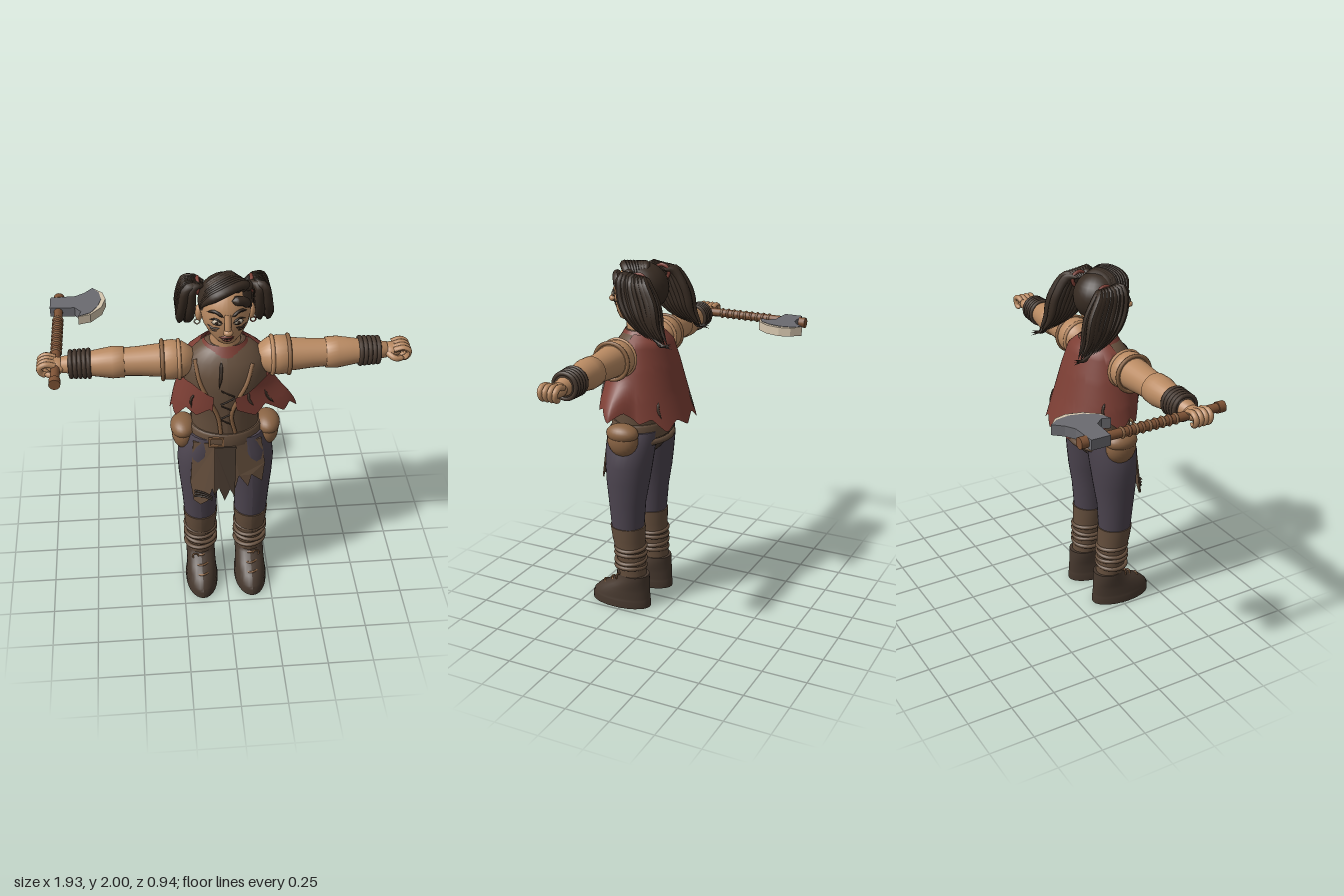
import * as THREE from 'three';
import { ParametricGeometry } from 'three/addons/geometries/ParametricGeometry.js';

const V = (p) => new THREE.Vector3(...p);
const lerp = THREE.MathUtils.lerp, smooth = THREE.MathUtils.smoothstep;

export function createModel() {
  const model = new THREE.Group();
  const paint = (name, color, side = THREE.FrontSide) => {
    const m = new THREE.MeshStandardMaterial({ color, side });
    m.name = name;
    return m;
  };
  const skin = paint('skin', 0xb98a62), dark = paint('darkLeather', 0x46382e);
  const leather = paint('leather', 0x654f3d), tan = paint('tanLeather', 0x8a6444);
  const trousers = paint('trousers', 0x4d4550), red = paint('redCloth', 0x7d3f35, THREE.DoubleSide);
  const hair = paint('hair', 0x372b22), metal = paint('metal', 0x6b6b70);
  const pale = paint('pale', 0xd5c6ae), wood = paint('wood', 0x7d5235);

  const add = (name, geo, mat, pos = [0, 0, 0], parent = model) => {
    const m = new THREE.Mesh(geo, mat);
    m.name = name;
    m.position.set(...pos);
    parent.add(m);
    return m;
  };
  // Elliptical sections stacked top to bottom: [y, centreX, centreZ, radiusX, radiusZ]
  const loft = (rows) => {
    const g = new THREE.CylinderGeometry(1, 1, 1, 28, rows.length - 1), p = g.attributes.position;
    for (let i = 0; i < p.count; i++) {
      const [y, cx, cz, rx, rz] = rows[Math.round((0.5 - p.getY(i)) * (rows.length - 1))];
      p.setXYZ(i, cx + p.getX(i) * rx, y, cz + p.getZ(i) * rz);
    }
    g.computeVertexNormals();
    return g;
  };
  const ball = (name, mat, pos, size, parent) => {
    const m = add(name, new THREE.SphereGeometry(1, 24, 16), mat, pos, parent);
    m.scale.set(...size);
    return m;
  };
  // Tube along points, with an optional radius rule
  const tube = (pts, r, rule = () => 1, n = 20) => {
    const curve = new THREE.CatmullRomCurve3(pts.map(V));
    const g = new THREE.TubeGeometry(curve, n, r, 8), p = g.attributes.position, v = new THREE.Vector3();
    for (let i = 0; i < p.count; i++) {
      const t = Math.floor(i / 9) / n, c = curve.getPointAt(t);
      v.fromBufferAttribute(p, i).sub(c).multiplyScalar(rule(t)).add(c);
      p.setXYZ(i, v.x, v.y, v.z);
    }
    g.computeVertexNormals();
    return g;
  };
  const ends = (t) => Math.max(0.02, Math.min(1, t * 6, (1 - t) * 3));
  const slab = (pts, depth) => new THREE.ExtrudeGeometry(
    new THREE.Shape(pts.map(([x, y]) => new THREE.Vector2(x, y))), { depth, bevelEnabled: false });
  const ring = (name, mat, r, t, pos, parent) => {
    const m = add(name, new THREE.TorusGeometry(r, t, 8, 28), mat, pos, parent);
    m.rotation.x = Math.PI / 2;
    return m;
  };

  // Legs, boots and hip pouches
  for (const s of [-1, 1]) {
    const side = s > 0 ? 'left' : 'right', x = s * 0.142;
    add(side + 'TrouserLeg', loft([[1.08, s * 0.1, 0.21, 0.11, 0.14], [0.98, s * 0.125, 0.22, 0.128, 0.142],
      [0.88, s * 0.133, 0.225, 0.13, 0.133], [0.78, s * 0.14, 0.23, 0.117, 0.125],
      [0.65, s * 0.144, 0.235, 0.1, 0.107], [0.49, x, 0.235, 0.09, 0.094]]), trousers);
    add(side + 'Gaiter', loft([[0.5, x, 0.235, 0.096, 0.102], [0.42, x, 0.23, 0.09, 0.095],
      [0.34, x, 0.22, 0.08, 0.086], [0.18, x, 0.205, 0.074, 0.078]]), leather);
    [0.37, 0.33, 0.29, 0.25].forEach((y, i) => {
      const r = ring(side + 'GaiterStrap', leather, 0.085, 0.012, [x, y, 0.22]);
      r.rotation.y = (i % 2 ? 1 : -1) * 0.08;
    });
    add(side + 'Boot', loft([[0.2, x, 0.195, 0.079, 0.085], [0.17, x, 0.2, 0.083, 0.092],
      [0.13, x, 0.232, 0.082, 0.128], [0.1, x, 0.26, 0.084, 0.157], [0.06, x, 0.28, 0.088, 0.178],
      [0.045, x, 0.28, 0.088, 0.178], [0.04, x, 0.283, 0.092, 0.184], [0, x, 0.283, 0.092, 0.184]]), dark);
    // Laces across the instep and ankle rings
    for (const [y, z] of [[0.175, 0.29], [0.145, 0.345], [0.115, 0.395]])
      add(side + 'BootLace', tube([[x - 0.065, y - 0.03, z - 0.06], [x, y, z], [x + 0.065, y - 0.015, z - 0.06]], 0.006), tan);
    add(side + 'LaceRing', new THREE.TorusGeometry(0.017, 0.005, 6, 18), tan, [x - s * -0.035, 0.17, 0.29]);
    ball(side + 'Pouch', tan, [s * 0.225, 1.045, 0.215], [0.064, 0.095, 0.09]);
    ball(side + 'PouchFlap', tan, [s * 0.228, 1.085, 0.215], [0.068, 0.055, 0.094]);
  }
  ball('hips', dark, [0, 1.0, 0.215], [0.16, 0.1, 0.13]);

  // Torso, belt and buckle
  add('jerkin', loft([[1.63, 0, 0.21, 0.09, 0.08], [1.6, 0, 0.21, 0.14, 0.1], [1.55, 0, 0.21, 0.205, 0.135],
    [1.48, 0, 0.21, 0.22, 0.16], [1.4, 0, 0.21, 0.218, 0.168], [1.3, 0, 0.21, 0.2, 0.158],
    [1.18, 0, 0.21, 0.178, 0.146], [1.0, 0, 0.21, 0.185, 0.15]]), leather);
  add('belt', loft([[1.12, 0, 0.21, 0.188, 0.155], [1.11, 0, 0.21, 0.2, 0.163],
    [1.045, 0, 0.21, 0.205, 0.166], [1.035, 0, 0.21, 0.19, 0.155]]), leather);
  const lowBelt = ring('hipBelt', leather, 1, 0.09, [0, 1.02, 0.2]);
  lowBelt.scale.set(0.195, 0.155, 0.2);
  const buckle = new THREE.Group();
  buckle.name = 'buckle';
  model.add(buckle);
  for (const k of [-1, 1]) {
    add('buckleBar', new THREE.BoxGeometry(0.08, 0.01, 0.012), tan, [-0.06, 1.08 + k * 0.025, 0.372], buckle);
    add('bucklePost', new THREE.BoxGeometry(0.01, 0.055, 0.012), tan, [-0.06 + k * 0.036, 1.08, 0.372], buckle);
  }

  // Ragged loincloth panels following the waist and flaring forward
  const panel = (name, mat, pts, lift) => {
    const g = slab(pts, 0.01), p = g.attributes.position;
    for (let i = 0; i < p.count; i++)
      p.setZ(i, p.getZ(i) + lift + 0.36 - 1.2 * p.getX(i) ** 2 + (1.08 - p.getY(i)) * 0.14);
    g.computeVertexNormals();
    add(name, g, mat);
  };
  panel('rightClothPanel', leather, [[-0.18, 1.06], [-0.2, 0.8], [-0.185, 0.69], [-0.15, 0.67], [-0.11, 0.7],
    [-0.085, 0.78], [-0.07, 0.72], [-0.06, 1.06]], 0);
  panel('leftClothPanel', leather, [[0.03, 1.06], [0.04, 0.78], [0.06, 0.86], [0.11, 0.78], [0.13, 0.85],
    [0.19, 0.79], [0.205, 0.9], [0.185, 1.06]], 0);
  panel('centreClothPanel', dark, [[-0.07, 1.05], [-0.075, 0.75], [-0.05, 0.8], [-0.02, 0.72], [0.01, 0.79],
    [0.035, 0.74], [0.045, 1.05]], 0.015);
  for (const k of [0, 1, 2])
    add('clothStitch', tube([[-0.18, 0.765 - k * 0.02, 0.39], [-0.13, 0.755 - k * 0.014, 0.403], [-0.085, 0.735 - k * 0.01, 0.418]], 0.005), hair);

  // Chest cords, lacing and tears
  const front = (x, y) => [x, y, 0.217 + lerp(0.146, 0.166, smooth(y, 1.15, 1.4)) * Math.sqrt(Math.max(0, 1 - (x / 0.215) ** 2)) - smooth(y, 1.46, 1.62) * 0.065];
  add('rightChestCord', tube([[-0.16, 1.56], [-0.14, 1.45], [-0.09, 1.34], [-0.05, 1.24], [-0.035, 1.13]].map((p) => front(...p)), 0.011), tan);
  add('leftChestCord', tube([[0.13, 1.54], [0.1, 1.45], [0.05, 1.35], [0.02, 1.25], [0.04, 1.13]].map((p) => front(...p)), 0.011), tan);
  for (let k = 0; k < 5; k++) {
    const y = 1.2 + k * 0.05, d = k % 2 ? 0.02 : -0.02;
    add('chestLace', tube([front(-0.035, y - d), front(0, y), front(0.035, y + d)], 0.004), dark);
  }
  add('jerkinTear', tube([front(-0.03, 1.57), front(-0.035, 1.5), front(-0.045, 1.43)], 0.008, ends), hair);

  // Ragged cape around the back and under the arms
  const spans = [[1.63, 0.11, 0.1], [1.56, 0.2, 0.16], [1.45, 0.235, 0.195], [1.3, 0.275, 0.235], [1.05, 0.32, 0.315]];
  const capePoint = (a, y) => {
    let i = 0;
    while (i < 3 && y < spans[i + 1][0]) i++;
    const [y0, x0, z0] = spans[i], [y1, x1, z1] = spans[i + 1], t = (y0 - y) / (y0 - y1);
    const under = (1 - smooth(y, 1.2, 1.42)) * smooth(a, 1.2, 1.7) * 0.09;
    return [Math.sin(a) * (lerp(x0, x1, t) + under), y,
      0.2 - Math.cos(a) * (Math.cos(a) > 0 ? lerp(z0, z1, t) : Math.min(0.193, lerp(z0, z1, t)))];
  };
  add('cape', new ParametricGeometry((u, v, out) => {
    const a = lerp(-2.85, 3.0, u), b = Math.abs(a);
    const top = lerp(1.62, 1.44, smooth(b, 1.5, 1.9)) - smooth(b, 2.2, 3) * 0.06;
    const jag = Math.abs(((a * 1.9 + 20.3) % 1) - 0.5) * 0.11 + Math.abs(((a * 0.8 + 9) % 1) - 0.5) * 0.06;
    out.set(...capePoint(a, lerp(top, 1.17 - 0.07 * Math.cos(a) + jag, v)));
  }, 110, 14), red);
  const collar = add('collar', new THREE.CylinderGeometry(0.105, 0.155, 0.075, 28, 1, true), red, [0, 1.595, 0.205]);
  collar.scale.z = 0.85;
  for (const [a, y] of [[-1.1, 1.3], [-0.4, 1.22], [0.7, 1.24], [2.3, 1.34], [2.7, 1.36], [-2.4, 1.34]])
    add('capeTear', tube([capePoint(a, y + 0.04), capePoint(a + 0.04, y), capePoint(a, y - 0.05)], 0.007, ends), dark);

  // Arms, built along +x and turned for the other side
  for (const s of [-1, 1]) {
    const arm = new THREE.Group();
    arm.name = s > 0 ? 'leftArm' : 'rightArm';
    arm.position.set(0, 1.52, 0.22);
    if (s < 0) arm.rotation.y = Math.PI;
    model.add(arm);
    const turned = (name, mat, pts) => add(name, new THREE.LatheGeometry(
      pts.map(([x, r]) => new THREE.Vector2(r, x)), 28).rotateZ(-Math.PI / 2), mat, [0, 0, 0], arm);
    turned('shoulder', skin, [[0.14, 0], [0.17, 0.06], [0.22, 0.094], [0.27, 0.104], [0.325, 0.1], [0.33, 0.08]]);
    turned('upperArm', skin, [[0.3, 0.088], [0.36, 0.085], [0.44, 0.077], [0.52, 0.073], [0.55, 0.07]]);
    turned('forearm', skin, [[0.515, 0.06], [0.52, 0.081], [0.58, 0.083], [0.66, 0.07], [0.74, 0.056], [0.84, 0.042], [0.85, 0]]);
    for (const [x, r] of [[0.24, 0.098], [0.325, 0.1]])
      add('shoulderBand', new THREE.TorusGeometry(r, 0.011, 8, 28).rotateY(Math.PI / 2), x < 0.3 ? skin : tan, [x, 0, 0], arm);
    turned('bracer', dark, [[0.69, 0.06], [0.69, 0.069], [0.8, 0.06], [0.8, 0.045]]);
    for (let k = 0; k < 5; k++)
      add('bracerWrap', new THREE.TorusGeometry(0.069 - k * 0.001, 0.012, 8, 24).rotateY(Math.PI / 2), dark, [0.7 + k * 0.023, 0, 0], arm);
    ball('palm', skin, [0.865, 0, 0], [0.055, 0.036, 0.05], arm);
    for (let k = 0; k < 4; k++) {
      const z = (k - 1.5) * 0.026;
      add('finger', tube([[0.87, 0.02, z], [0.92, 0.033, z * 1.1], [0.95, 0.012, z * 1.1], [0.938, -0.025, z], [0.9, -0.03, z]], 0.0155, (t) => Math.min(1, (1.03 - t) * 6)), skin, [0, 0, 0], arm);
    }
    add('thumb', tube([[0.84, 0, s * 0.03], [0.875, -0.015, s * 0.06], [0.925, -0.022, s * 0.05]], 0.017, (t) => Math.min(1, (1.04 - t) * 5)), skin, [0, 0, 0], arm);
  }

  // Axe held level in the right hand
  const axe = new THREE.Group();
  axe.name = 'axe';
  axe.position.y = 1.52;
  model.add(axe);
  add('axeShaft', new THREE.CylinderGeometry(0.024, 0.024, 0.82, 16).rotateX(Math.PI / 2), wood, [-0.87, 0, -0.015], axe);
  for (const z of [0.375, -0.405])
    add('axeShaftCap', new THREE.CylinderGeometry(0.03, 0.03, 0.04, 16).rotateX(Math.PI / 2), wood, [-0.87, 0, z], axe);
  for (let k = 0; k < 9; k++)
    add('axeGripWrap', new THREE.TorusGeometry(0.023, 0.008, 6, 18), k % 2 ? wood : tan, [-0.87, 0, 0.11 - k * 0.038], axe);
  add('axeBlade', slab([[-0.915, -0.385], [-0.78, -0.39], [-0.73, -0.42], [-0.685, -0.47], [-0.65, -0.42], [-0.638, -0.35],
    [-0.655, -0.28], [-0.695, -0.215], [-0.76, -0.185], [-0.745, -0.23], [-0.78, -0.272], [-0.915, -0.28]], 0.055).rotateX(Math.PI / 2), metal, [0, 0.0275, 0], axe);
  add('axeEdge', slab([[-0.685, -0.47], [-0.63, -0.42], [-0.613, -0.355], [-0.635, -0.27], [-0.695, -0.2], [-0.76, -0.185],
    [-0.695, -0.215], [-0.655, -0.28], [-0.638, -0.35], [-0.65, -0.42]], 0.05).rotateX(Math.PI / 2), pale, [0, 0.025, 0], axe);

  // Head and face
  add('neck', new THREE.CylinderGeometry(0.076, 0.082, 0.16, 24), skin, [0, 1.65, 0.212]);
  add('head', loft([[1.97, 0, 0.22, 0.04, 0.05], [1.94, 0, 0.22, 0.09, 0.1], [1.88, 0, 0.22, 0.122, 0.136],
    [1.81, 0, 0.22, 0.127, 0.142], [1.76, 0, 0.225, 0.116, 0.132], [1.71, 0, 0.235, 0.088, 0.112],
    [1.68, 0, 0.245, 0.06, 0.092], [1.665, 0, 0.25, 0.03, 0.06]]), skin);
  const face = (x, y) => [x, y, 0.222 + lerp(0.125, 0.142, smooth(y, 1.7, 1.82)) * Math.sqrt(1 - (x / lerp(0.1, 0.127, smooth(y, 1.71, 1.8))) ** 2) - smooth(y, 1.83, 1.93) * 0.022];
  const mark = (name, mat, pts, r = 0.005) => add(name, tube(pts.map((p) => face(...p)), r, ends), mat);
  add('noseBridge', tube([[0, 1.86, 0.35], [0, 1.81, 0.372], [0, 1.775, 0.382]], 0.017), skin);
  ball('noseTip', skin, [0, 1.775, 0.383], [0.025, 0.018, 0.022]);
  for (const s of [-1, 1]) {
    ball('eye', pale, face(s * 0.055, 1.818), [0.024, 0.013, 0.007]).rotation.y = s * 0.4;
    ball('iris', hair, face(s * 0.053, 1.818).map((c, i) => c + (i === 2 ? 0.006 : 0)), [0.009, 0.011, 0.004]);
    mark('upperLid', hair, [[s * 0.025, 1.815], [s * 0.055, 1.835], [s * 0.09, 1.82]]);
    mark('lowerLid', hair, [[s * 0.028, 1.81], [s * 0.055, 1.803], [s * 0.085, 1.812]], 0.004);
    mark('brow', hair, [[s * 0.02, 1.85], [s * 0.06, 1.872], [s * 0.1, 1.855]], 0.009);
    mark('cheekMark', hair, [[s * 0.04, 1.785], [s * 0.07, 1.775], [s * 0.1, 1.785]]);
    mark('cheekMark', hair, [[s * 0.05, 1.765], [s * 0.07, 1.758], [s * 0.09, 1.765]], 0.004);
    ball('ear', skin, [s * 0.133, 1.785, 0.2], [0.02, 0.045, 0.03]);
    add('earring', new THREE.TorusGeometry(0.014, 0.004, 6, 16), s > 0 ? red : pale, [s * 0.142, 1.735, 0.205]);
  }
  mark('upperLip', red, [[-0.04, 1.722], [0, 1.73], [0.04, 1.722]], 0.008);
  mark('lowerLip', red, [[-0.03, 1.716], [0, 1.708], [0.03, 1.716]], 0.008);
  mark('mouthLine', hair, [[-0.045, 1.722], [0, 1.719], [0.045, 1.724]], 0.006);

  // Hair: skull cap, swept fringe, and two bunches of strands
  ball('hairCap', hair, [0, 1.855, 0.195], [0.138, 0.135, 0.14]);
  for (let k = 0; k < 8; k++) {
    const f = k / 7;
    add('fringeLock', tube([[0.13 - f * 0.06, 1.93, 0.2 - f * 0.06], [0.07 - f * 0.05, 1.975, 0.27 - f * 0.1],
      [-0.03 - f * 0.03, 1.955, 0.315 - f * 0.11], [-0.1, 1.905, 0.3 - f * 0.11], [-0.135, 1.84, 0.26 - f * 0.11]], 0.025, ends), hair);
  }
  for (let k = 0; k < 5; k++)
    ball('topBraid', hair, [0.02 + k * 0.03, 1.968 - k * 0.008, 0.29 - k * 0.022], [0.026, 0.026, 0.028]);
  mark('foreheadLock', hair, [[0.02, 1.93], [0.08, 1.91], [0.118, 1.85]], 0.025);
  for (const s of [-1, 1]) {
    ring('hairTie', red, 0.04, 0.01, [s * 0.135, 1.915, 0.15]).rotation.set(0, Math.PI / 2, 0);
    for (let k = 0; k < 16; k++) {
      const f = (k % 8) / 7, o = k < 8 ? 0 : -0.045;
      add('bunchStrand', tube([[s * 0.1, 1.93, 0.19 - f * 0.06], [s * (0.185 + o * 0.6), 1.945 - f * 0.02, 0.225 - f * 0.13],
        [s * (0.218 + o), 1.82, 0.21 - f * 0.18], [s * (0.228 + o), 1.7, 0.13 - f * 0.13],
        [s * (0.228 + o * 0.5), 1.64 - f * 0.03, 0.06 - f * 0.11]], 0.025, ends), hair);
    }
    for (let k = 0; k < 3; k++)
      add('strandTip', tube([[s * 0.22, 1.67, 0.06 - k * 0.02], [s * 0.23, 1.62 - k * 0.005, -0.02], [s * 0.235, 1.6 + k * 0.015, -0.09]], 0.008, ends), hair);
  }
  return model;
}
